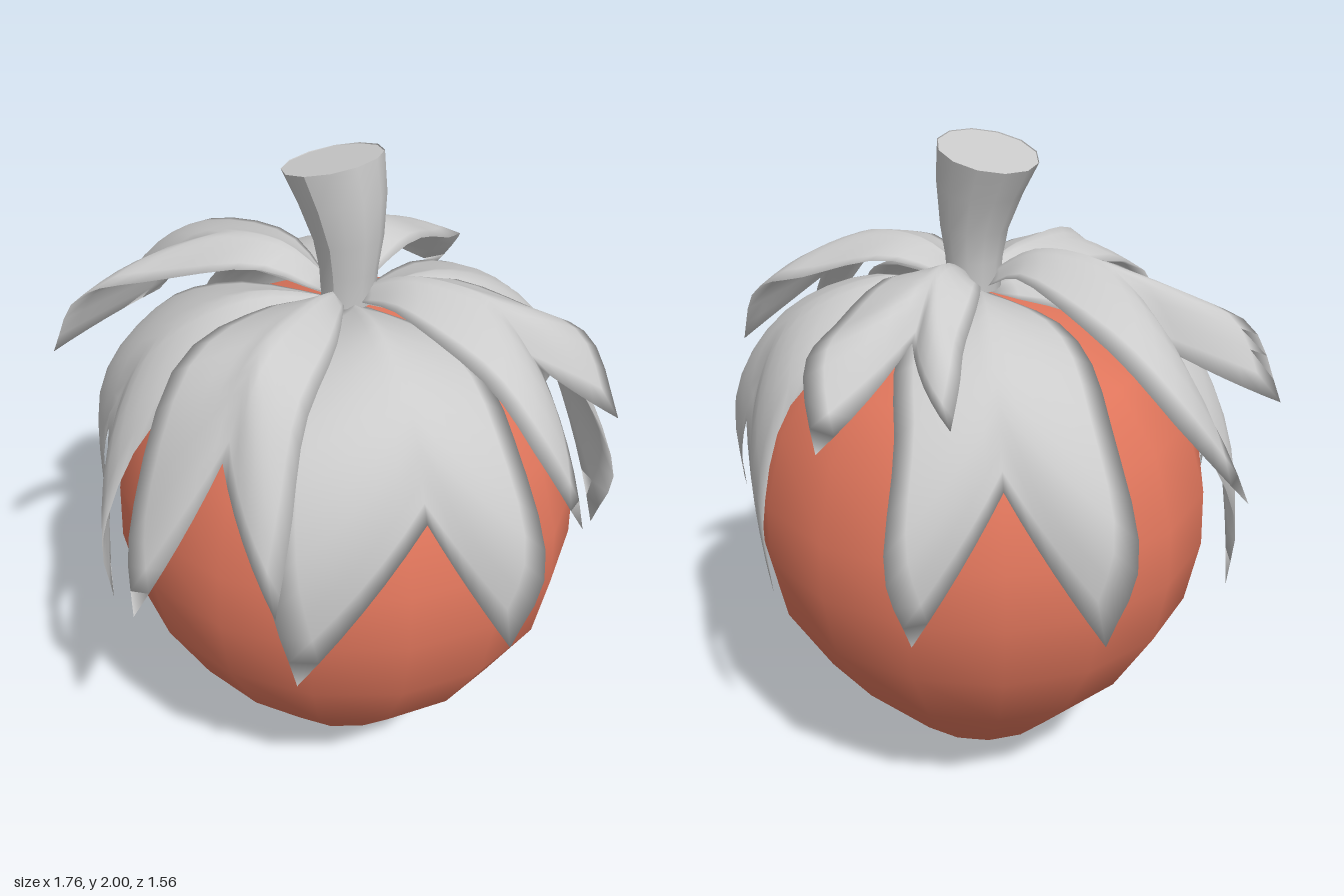
import * as THREE from 'three';
import { mergeVertices } from 'three/addons/utils/BufferGeometryUtils.js';

const AXIS = { x: 0.07, z: -0.06 };
const leafMat = new THREE.MeshStandardMaterial({ color: 0xcccccc, side: THREE.DoubleSide });
const fruitMat = new THREE.MeshStandardMaterial({ color: 0xe0765c });

// Smooth curve through points given as [angle in degrees, radius, height]
const curve = (pts) => new THREE.CatmullRomCurve3(
  pts.map(([a, r, y]) => new THREE.Vector3(a, r, y)), false, 'catmullrom');

// Two-tipped fleshy leaf: a domed top and a flatter underside that share their rim.
// Each is a grid from one outer edge, over the midrib, to the other edge;
// the last row zigzags tip - notch - tip.
function leafGeometry(edgeA, rib, edgeB, dome) {
  const rows = 14, half = 6, cols = half * 2;
  const pos = [], index = [];
  for (const height of [dome, -0.012]) {
    const first = pos.length / 3;
    for (let i = 0; i <= rows; i++) {
      const t = i / rows;
      const a = edgeA.getPoint(t), m = rib.getPoint(t), b = edgeB.getPoint(t);
      for (let j = 0; j <= cols; j++) {
        const s = j <= half ? j / half : (j - half) / half;
        const p = j <= half ? a.clone().lerp(m, s) : m.clone().lerp(b, s);
        const broad = Math.sin(Math.PI * j / cols), lobes = Math.sin(Math.PI * s);
        const lift = height * Math.sin(Math.PI * t) ** 0.6 * THREE.MathUtils.lerp(broad, lobes, t * t);
        const r = p.y + lift * (0.2 + 0.7 * t), y = p.z + lift * (1 - 0.6 * t);
        const ang = THREE.MathUtils.degToRad(p.x);
        pos.push(AXIS.x + r * Math.cos(ang), y, AXIS.z + r * Math.sin(ang));
        if (i < rows && j < cols) {
          const k = first + i * (cols + 1) + j, n = k + cols + 1;
          if (height > 0) index.push(k, k + 1, n, k + 1, n + 1, n);
          else index.push(k, n, k + 1, k + 1, n, n + 1);
        }
      }
    }
  }
  const geo = new THREE.BufferGeometry();
  geo.setAttribute('position', new THREE.Float32BufferAttribute(pos, 3));
  geo.setIndex(index);
  const merged = mergeVertices(geo, 1e-5);
  merged.computeVertexNormals();
  return merged;
}

// Upper leaf: arches out over the lower ring; wide is how far each edge bulges past its tip
function upperLeaf({ a, notch, b, wide, lift }) {
  const mid = notch[0];
  const edge = (tip, baseAngle, bulge) => curve([
    [baseAngle, 0.05, 1.59],
    [baseAngle, 0.27, 1.625 + lift],
    [tip[0] + bulge, tip[1] * 0.66, 1.55 + lift],
    [tip[0] + bulge * 0.65, tip[1] - 0.1, Math.min(tip[2] + 0.2, 1.49 + lift)],
    tip]);
  const rib = curve([[mid, 0.03, 1.61], [mid, 0.2, 1.65 + lift],
    [mid, notch[1] * 0.72, 1.63 + lift], notch]);
  return leafGeometry(edge(a, mid - 25, wide[0]), rib, edge(b, mid + 33, wide[1]), 0.035);
}

// Lower leaf: hugs the shoulder of the fruit and hangs down
function lowerLeaf({ a, notch, b, wide }) {
  const mid = notch[0];
  const edge = (tip, side, bulge) => curve([
    [mid + side * 40, 0.05, 1.57],
    [mid + side * 36, 0.37, 1.55],
    [tip[0] + bulge * 1.4, 0.63, 1.4],
    [tip[0] + bulge, tip[1] + 0.035, 1.1],
    tip]);
  const rib = curve([[mid, 0.03, 1.58], [mid, 0.28, 1.6], [mid, 0.53, 1.49], notch]);
  return leafGeometry(edge(a, -1, wide[0]), rib, edge(b, 1, wide[1]), 0.03);
}

// Tips and notches as [angle, radius, height]; angle 0 is +x, 90 is +z
const UPPER = [
  { name: 'upperLeafFront', a: [71, 0.83, 1.1], notch: [88, 0.64, 1.4], b: [100, 0.85, 0.96], wide: [-2, 13], lift: -0.02 },
  { name: 'upperLeafRight', a: [157, 0.87, 1.33], notch: [169, 0.58, 1.5], b: [184, 0.95, 1.24], wide: [-4, 14], lift: 0.05 },
  { name: 'upperLeafBack', a: [235, 0.67, 1.45], notch: [252, 0.43, 1.57], b: [263, 0.73, 1.36], wide: [-2, 16], lift: 0.04 },
  { name: 'upperLeafLeft', a: [-18, 0.78, 1.3], notch: [-7, 0.57, 1.49], b: [11, 0.83, 1.2], wide: [-10, 9], lift: 0.015 },
];
const LOWER = [
  { name: 'lowerLeafFrontLeft', a: [22, 0.755, 0.83], notch: [41, 0.67, 1.27], b: [69, 0.71, 0.77], wide: [-5, 5] },
  { name: 'lowerLeafFrontRight', a: [119, 0.76, 0.81], notch: [137, 0.68, 1.28], b: [160, 0.77, 0.75], wide: [-5, 11] },
  { name: 'lowerLeafBackRight', a: [204, 0.77, 0.83], notch: [224, 0.67, 1.28], b: [243, 0.75, 0.86], wide: [-5, 4] },
  { name: 'lowerLeafBackLeft', a: [287, 0.69, 0.8], notch: [311, 0.67, 1.23], b: [333, 0.755, 0.85], wide: [-5, 5] },
];

// Stem: flared tube that leans sideways, with a slanted cut on top
function stemGeometry() {
  const rings = [[0.075, 1.58, 0.075], [0.08, 1.67, 0.075], [0.095, 1.76, 0.073],
    [0.118, 1.87, 0.052], [0.136, 1.97, 0.02]];
  const sides = 12;
  const geo = new THREE.CylinderGeometry(1, 1, 1, sides, rings.length - 1, true);
  const p = geo.attributes.position;
  for (let i = 0; i < p.count; i++) {
    const k = Math.round((p.getY(i) + 0.5) * (rings.length - 1));
    const [r, y, cx] = rings[k];
    const slant = 0.23 * k / (rings.length - 1);
    p.setXYZ(i, cx + r * p.getX(i), y + slant * r * p.getX(i), -0.065 + r * 1.04 * p.getZ(i));
  }
  geo.computeVertexNormals();
  return geo;
}

export function createModel() {
  const model = new THREE.Group();
  const add = (name, geo, mat) => {
    const mesh = new THREE.Mesh(geo, mat);
    mesh.name = name;
    model.add(mesh);
    return mesh;
  };

  // Fruit body, slightly flatter from front to back
  const profile = [[0, 0], [0.1, 0.04], [0.265, 0.17], [0.52, 0.44], [0.65, 0.66], [0.69, 0.86],
    [0.685, 1.03], [0.625, 1.24], [0.5, 1.4], [0.3, 1.51], [0, 1.55]]
    .map(([r, y]) => new THREE.Vector2(r, y));
  const body = new THREE.LatheGeometry(profile, 16).scale(1, 1, 0.955);
  add('fruit', body, fruitMat).position.set(AXIS.x, 0, AXIS.z);

  // Leaf crown
  LOWER.forEach((leaf) => add(leaf.name, lowerLeaf(leaf), leafMat));
  UPPER.forEach((leaf) => add(leaf.name, upperLeaf(leaf), leafMat));

  // Stem and its cut face
  add('stem', stemGeometry(), leafMat);
  const cut = add('stemCut', new THREE.CircleGeometry(0.138, 12).rotateX(-Math.PI / 2), leafMat);
  cut.position.set(0.02, 1.968, -0.065);
  cut.rotation.z = Math.atan(0.23);

  return model;
}
